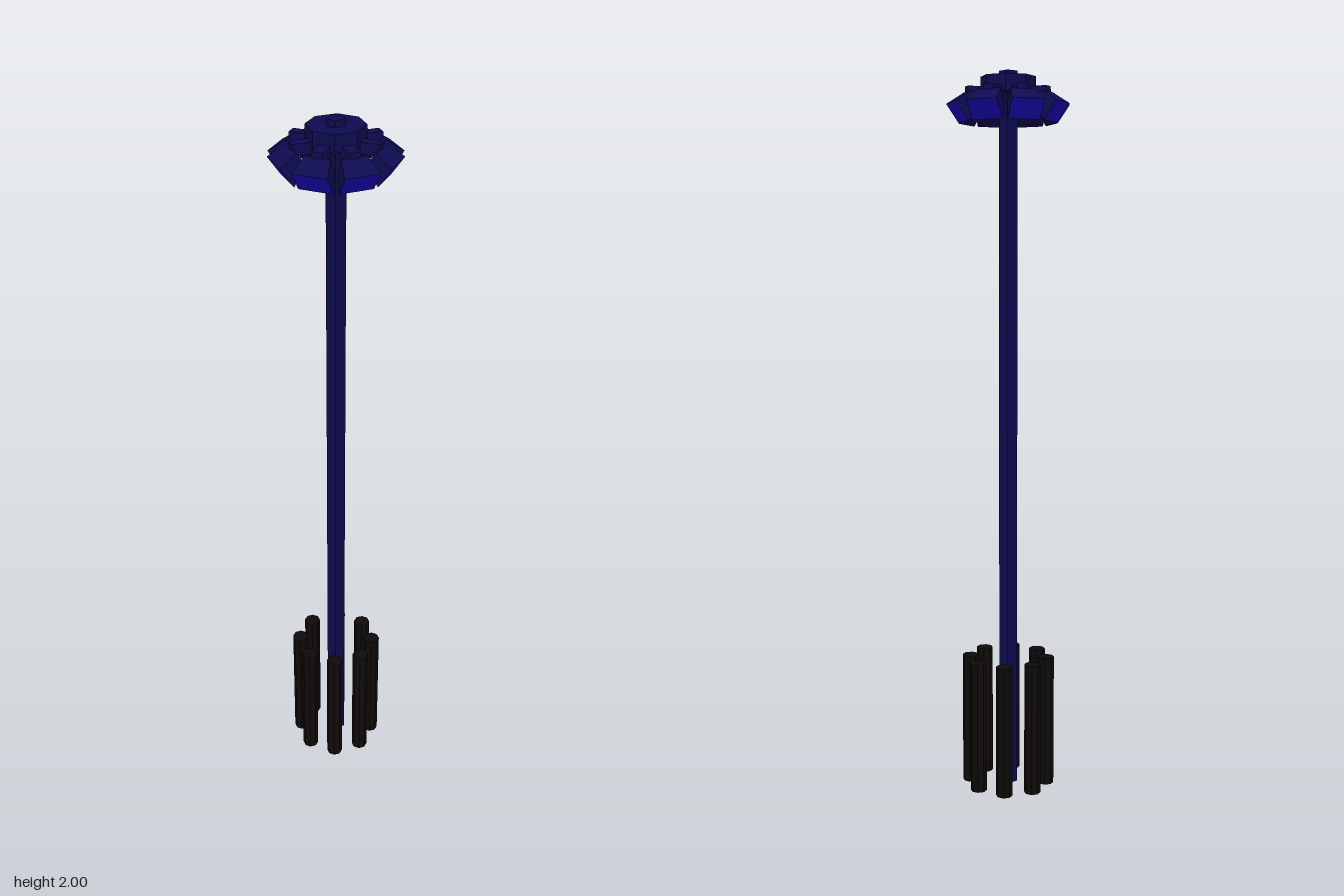
import * as THREE from 'three';

const mat = (color) => new THREE.MeshStandardMaterial({ color, flatShading: true });

// Lamp housing: a box whose ends follow two radial sections, wide lens end to narrow back end
function taperedHousing() {
  const front = { top: [0.161, 1.912], bottom: [0.126, 1.862], half: 0.045 };
  const back = { top: [0.115, 1.942], bottom: [0.092, 1.907], half: 0.034 };
  const geo = new THREE.BoxGeometry(1, 1, 1);
  const p = geo.attributes.position;
  for (let i = 0; i < p.count; i++) {
    const end = p.getX(i) > 0 ? front : back;
    const [r, y] = p.getY(i) > 0 ? end.top : end.bottom;
    p.setXYZ(i, r, y, Math.sign(p.getZ(i)) * end.half);
  }
  geo.computeVertexNormals();
  return geo;
}

function octagon(shape, radius) {
  for (let i = 0; i < 8; i++) {
    const a = (i * Math.PI) / 4;
    const x = radius * Math.cos(a), y = radius * Math.sin(a);
    if (i === 0) shape.moveTo(x, y);
    else shape.lineTo(x, y);
  }
  shape.closePath();
  return shape;
}

export function createModel() {
  const model = new THREE.Group();
  const blue = mat(0x0e0c50);
  const lensBlue = mat(0x1c0ac8);
  const black = mat(0x0e0b09);

  const add = (parent, name, geo, material, x = 0, y = 0, z = 0) => {
    const mesh = new THREE.Mesh(geo, material);
    mesh.name = name;
    mesh.position.set(x, y, z);
    parent.add(mesh);
    return mesh;
  };

  // Square pole
  add(model, 'pole', new THREE.BoxGeometry(0.036, 2, 0.036), blue, 0, 1, 0);

  // Octagonal collar with a hole for the pole
  const collarShape = octagon(new THREE.Shape(), 0.075);
  collarShape.holes.push(octagon(new THREE.Path(), 0.025));
  const collarGeo = new THREE.ExtrudeGeometry(collarShape, { depth: 0.045, bevelEnabled: false });
  collarGeo.rotateX(-Math.PI / 2);
  add(model, 'collar', collarGeo, blue, 0, 1.94, 0);

  // Ring of eight lamps on short arms
  const housingGeo = taperedHousing();
  const armGeo = new THREE.BoxGeometry(0.068, 0.03, 0.028);
  const lampMaterials = [lensBlue, blue, blue, blue, blue, blue];
  for (let i = 0; i < 8; i++) {
    const lamp = new THREE.Group();
    lamp.name = 'lamp';
    add(lamp, 'lampArm', armGeo, blue, 0.084, 1.94, 0);
    add(lamp, 'lampHousing', housingGeo, lampMaterials);
    lamp.rotation.y = THREE.MathUtils.degToRad(25 + 45 * i);
    model.add(lamp);
  }

  // Ring of guard posts around the foot of the pole
  const postGeo = new THREE.CylinderGeometry(0.023, 0.023, 0.375, 8);
  for (let i = 0; i < 8; i++) {
    const a = (i * Math.PI) / 4;
    add(model, 'guardPost', postGeo, black, 0.108 * Math.cos(a), 0.1875, 0.108 * Math.sin(a));
  }
  return model;
}
